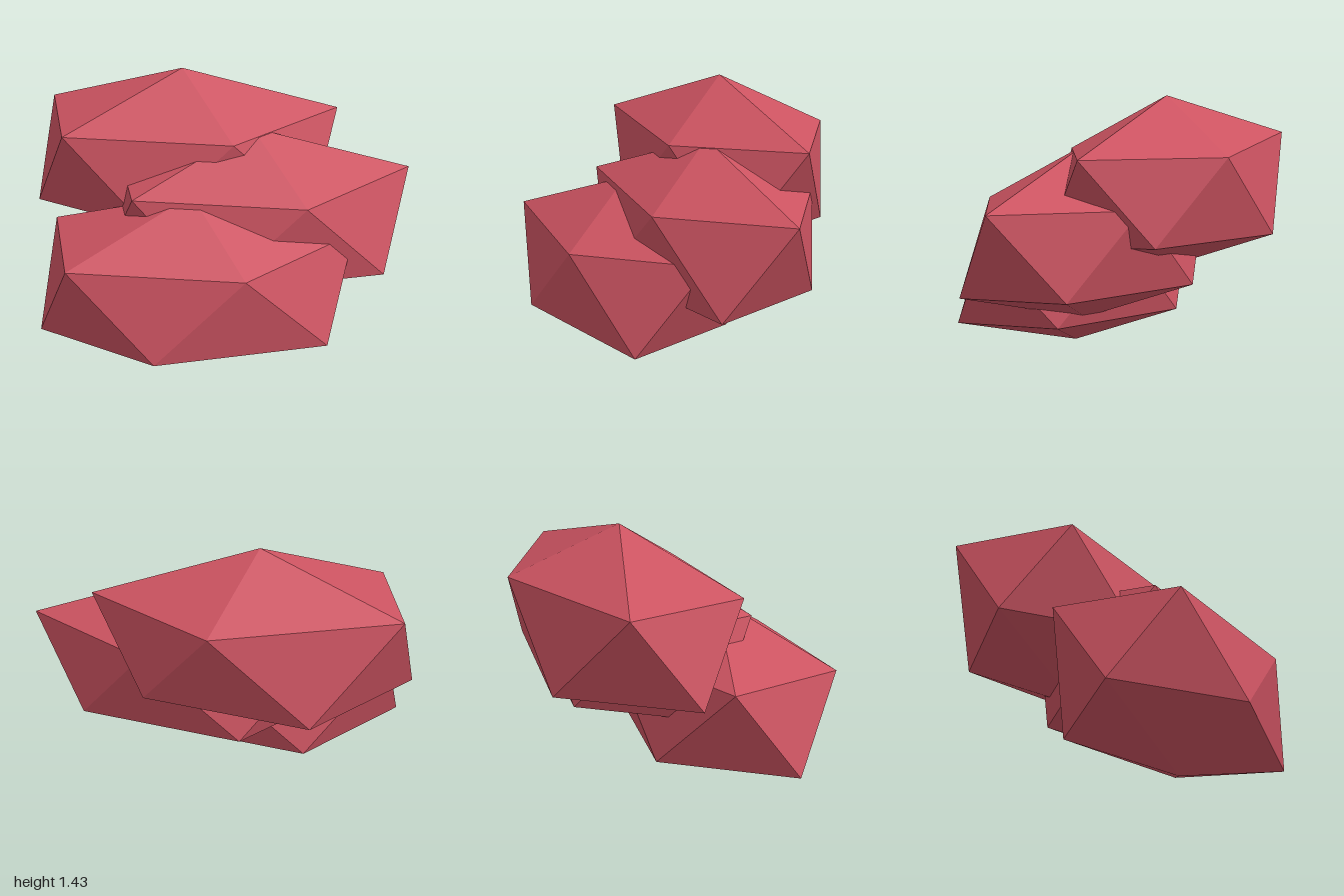
import * as THREE from 'three';

// Irregular twelve-cornered boulder: top, two staggered rings of five, bottom
function boulderGeometry() {
  const corners = [
    [0, 0.467, 0],
    [0.85, 0.217, 0], [0.23, 0.18, 0.455], [-0.65, 0.208, 0.315], [-0.7, 0.225, -0.345], [0.25, 0.2, -0.505],
    [0.67, -0.268, 0.317], [-0.23, -0.248, 0.475], [-0.8, -0.263, 0], [-0.25, -0.27, -0.52], [0.58, -0.236, -0.28],
    [0, -0.467, 0],
  ];
  const index = [];
  for (let i = 0; i < 5; i++) {
    const next = (i + 1) % 5;
    const u0 = 1 + i, u1 = 1 + next, l0 = 6 + i, l1 = 6 + next;
    index.push(0, u1, u0, u0, u1, l0, l0, u1, l1, 11, l0, l1);
  }
  const indexed = new THREE.BufferGeometry();
  indexed.setAttribute('position', new THREE.Float32BufferAttribute(corners.flat(), 3));
  indexed.setIndex(index);
  const geometry = indexed.toNonIndexed();
  geometry.computeVertexNormals();
  return geometry;
}

export function createModel() {
  const group = new THREE.Group();
  group.name = 'boulderCluster';
  const redStone = new THREE.MeshStandardMaterial({ color: 0xcc5361, flatShading: true });
  redStone.name = 'redStone';

  // Three equal boulders climbing from front to back, the middle one shifted sideways
  const geometry = boulderGeometry();
  ['frontBoulder', 'middleBoulder', 'backBoulder'].forEach((name, i) => {
    const boulder = new THREE.Mesh(geometry, redStone);
    boulder.name = name;
    boulder.position.set(i === 1 ? 0.145 : -0.2, 0.47 + 0.247 * i, 0.315 - 0.295 * i);
    group.add(boulder);
  });
  return group;
}
